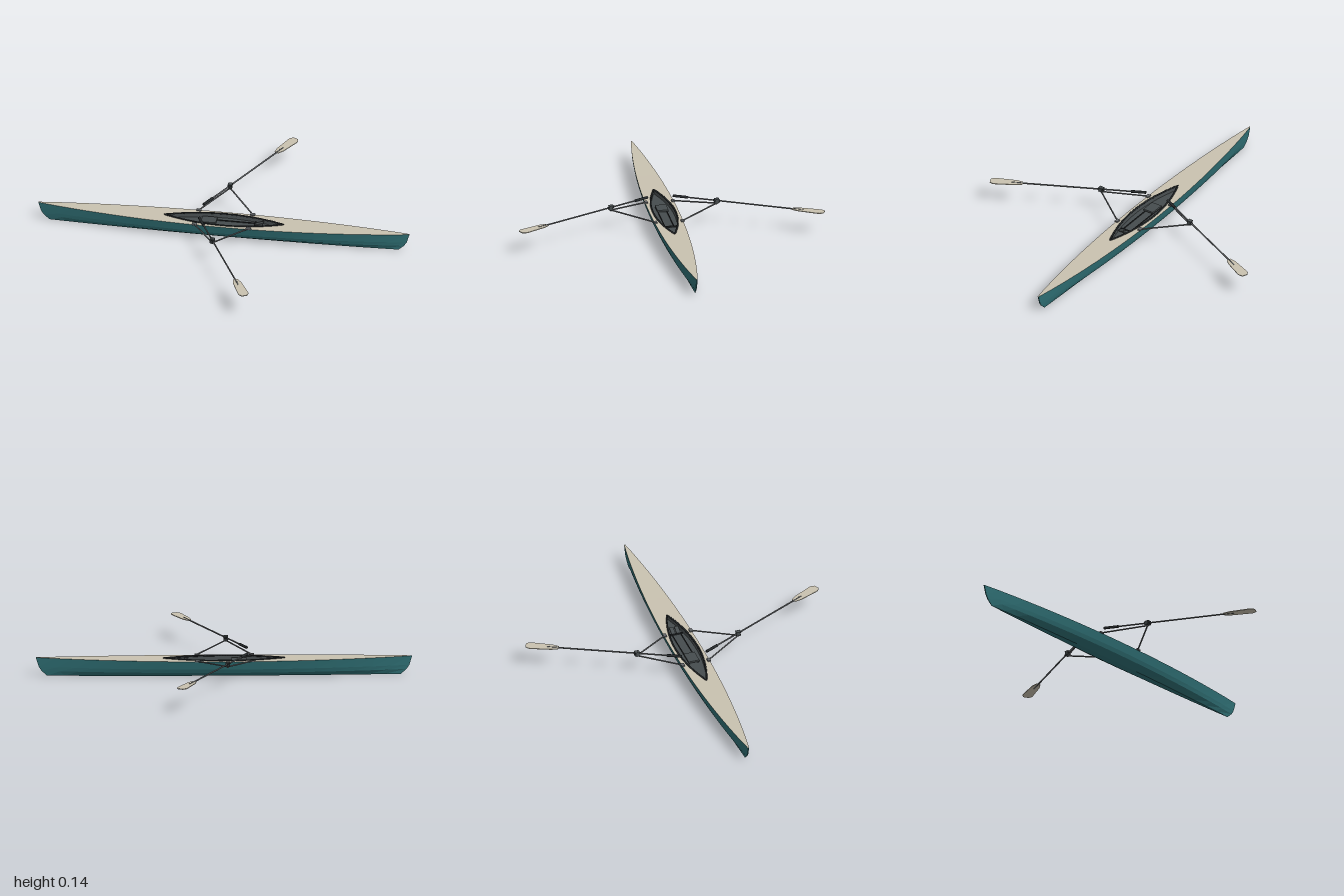
import * as THREE from 'three';

const mat = (color, flatShading = false, side = THREE.FrontSide) =>
  new THREE.MeshStandardMaterial({ color, flatShading, side });
const teal = mat(0x2f6f74, true);
const cream = mat(0xc9c2b0);
const dark = mat(0x464c4e, true);
const black = mat(0x24282a);
const metal = mat(0x66696c);

const sheer = x => 0.09 + 0.01 * x * x;
const beam = x => 0.076 * Math.pow(1 - x * x, 0.95) + 0.003;
const well = x => Math.max(0, 0.06 * (1 - (x / 0.32) ** 2));
const FLOOR = 0.068;

function add(parent, name, geo, material, x = 0, y = 0, z = 0) {
  const m = new THREE.Mesh(geo, material);
  m.name = name;
  m.position.set(x, y, z);
  parent.add(m);
  return m;
}

// Skin over a list of cross-sections, each a list of [x, y, z]
function loft(rows) {
  const n = rows[0].length, index = [];
  for (let i = 0; i < rows.length - 1; i++)
    for (let j = 0; j < n - 1; j++) {
      const a = i * n + j, c = a + n;
      index.push(a, a + 1, c, a + 1, c + 1, c);
    }
  const g = new THREE.BufferGeometry();
  g.setAttribute('position', new THREE.Float32BufferAttribute(rows.flat(2), 3));
  g.setIndex(index);
  g.computeVertexNormals();
  return g;
}

const range = (a, b, n) => Array.from({ length: n + 1 }, (_, i) => a + (b - a) * i / n);

// Round rod between two points
function rod(parent, name, a, b, r, material) {
  const d = b.clone().sub(a);
  const m = add(parent, name, new THREE.CylinderGeometry(r, r, d.length(), 8), material);
  m.position.copy(a).addScaledVector(d, 0.5);
  m.quaternion.setFromUnitVectors(new THREE.Vector3(0, 1, 0), d.normalize());
}

function hull(g) {
  // height fraction, width factor, length factor
  const half = [[1, 1, 1], [0.5, 0.86, 0.985], [0.27, 0.74, 0.97], [0, 0.26, 0.94]];
  const section = (x, w) => [
    ...half.map(([u, k, l]) => [x * l, u * sheer(x), w * k]),
    ...half.slice().reverse().map(([u, k, l]) => [x * l, u * sheer(x), -w * k])];
  const rows = range(-1, 1, 20).map(x => section(x, beam(x)));
  rows.unshift(section(-1, 0));
  rows.push(section(1, 0));
  add(g, 'hull', loft(rows), teal);

  // Deck halves around the cockpit opening
  const xs = [...range(-1, -0.32, 10), ...range(-0.32, 0.32, 24).slice(1), ...range(0.32, 1, 10).slice(1)];
  add(g, 'deckLeft', loft(xs.map(x => [[x, sheer(x), well(x)], [x, sheer(x), beam(x)]])), cream);
  add(g, 'deckRight', loft(xs.map(x => [[x, sheer(x), -beam(x)], [x, sheer(x), -well(x)]])), cream);
}

function cockpit(g) {
  const xs = range(-0.32, 0.32, 24);
  add(g, 'cockpitWell', loft(xs.map(x => {
    const c = well(x), y = sheer(x);
    return [[x, y, -c], [x, FLOOR, -c * 0.92], [x, FLOOR, c * 0.92], [x, y, c]];
  })), dark);
  // Rim around the opening
  const pts = [...xs.map(x => [x, 1]), ...xs.slice(1, -1).reverse().map(x => [x, -1])]
    .map(([x, s]) => new THREE.Vector3(x, sheer(x) + 0.001, s * well(x)));
  const path = new THREE.CatmullRomCurve3(pts, true);
  add(g, 'cockpitRim', new THREE.TubeGeometry(path, 96, 0.005, 6, true), black);

  // Sliding seat, rails and foot stretcher
  add(g, 'seat', new THREE.BoxGeometry(0.08, 0.01, 0.06), dark, -0.08, FLOOR + 0.012, 0);
  for (const s of [-1, 1]) {
    add(g, 'seatRail', new THREE.BoxGeometry(0.28, 0.005, 0.004), black, 0.02, FLOOR + 0.0025, s * 0.024);
    const foot = add(g, 'footPlate', new THREE.BoxGeometry(0.045, 0.004, 0.022), dark, 0.19, FLOOR + 0.011, s * 0.014);
    foot.rotation.z = 0.35;
  }
  add(g, 'footBar', new THREE.BoxGeometry(0.006, 0.008, 0.07), black, 0.165, FLOOR + 0.004, 0);
}

function rigger(g, s) {
  const tip = new THREE.Vector3(-0.015, 0.116, s * 0.285);
  for (const x of [-0.147, 0.143]) {
    rod(g, 'riggerStay', new THREE.Vector3(x, 0.093, s * 0.073), tip, 0.004, metal);
    add(g, 'riggerFoot', new THREE.BoxGeometry(0.026, 0.008, 0.018), metal, x, 0.093, s * 0.073);
  }
  rod(g, 'oarlockPin', new THREE.Vector3(-0.015, 0.11, s * 0.285), new THREE.Vector3(-0.015, 0.143, s * 0.285), 0.004, metal);
  // Oarlock gate
  add(g, 'oarlockBase', new THREE.BoxGeometry(0.022, 0.005, 0.026), dark, -0.015, 0.121, s * 0.285);
  add(g, 'oarlockTop', new THREE.BoxGeometry(0.022, 0.004, 0.026), dark, -0.015, 0.14, s * 0.285);
  for (const k of [-1, 1])
    add(g, 'oarlockCheek', new THREE.BoxGeometry(0.004, 0.02, 0.02), dark, -0.015 + k * 0.01, 0.13, s * 0.285);
}

function oar(g, s) {
  const o = new THREE.Group();
  o.name = s > 0 ? 'leftOar' : 'rightOar';
  o.position.set(-0.015, 0.131, s * 0.285);
  const a = Math.atan(0.495);
  o.rotation.y = s > 0 ? a : Math.PI - a;
  const at = z => new THREE.Vector3(0, 0, z);
  rod(o, 'shaft', at(-0.2), at(0.48), 0.0042, metal);
  rod(o, 'handle', at(-0.241), at(-0.16), 0.0075, black);
  rod(o, 'collar', at(-0.018), at(0.018), 0.0065, black);

  // Flat blade, widest near the tip
  const edge = [[0.012, 0.42], [0.022, 0.455], [0.028, 0.568], [0.026, 0.58], [0.015, 0.596]];
  const outline = [...edge, ...edge.slice().reverse().map(([w, l]) => [-w, l])];
  const shape = new THREE.Shape(outline.map(([w, l]) => new THREE.Vector2(w, l)));
  const geo = new THREE.ExtrudeGeometry(shape, { depth: 0.004, bevelEnabled: false });
  geo.rotateX(Math.PI / 2).translate(0, 0.002, 0);
  add(o, 'blade', geo, cream);
  g.add(o);
}

export function createModel() {
  const g = new THREE.Group();
  g.name = 'rowingBoat';
  hull(g);
  cockpit(g);
  for (const s of [1, -1]) {
    rigger(g, s);
    oar(g, s);
  }
  return g;
}
